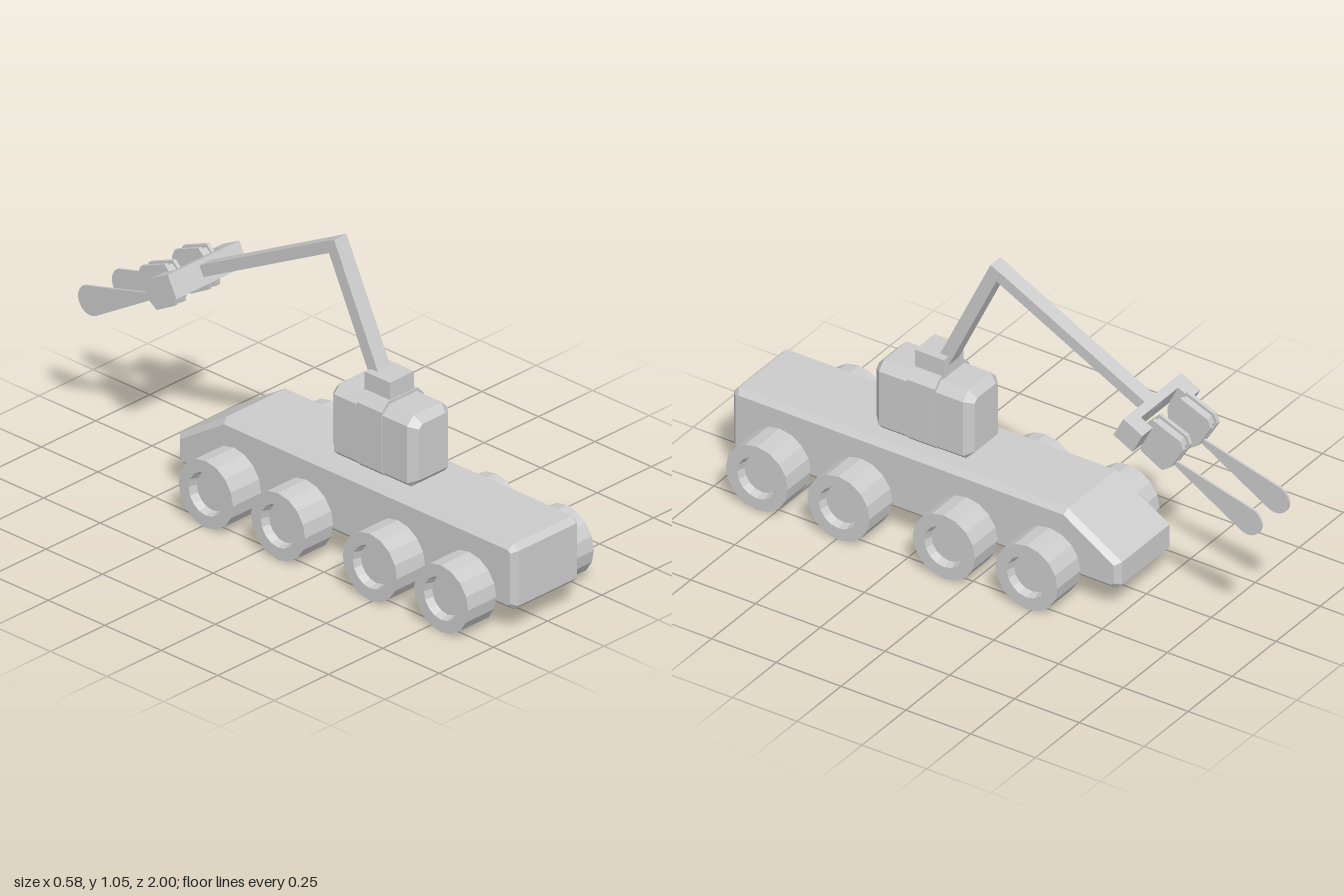
import * as THREE from 'three';

const material = new THREE.MeshStandardMaterial({ color: 0xcccccc, flatShading: true });

function add(parent, name, geometry, x = 0, y = 0, z = 0) {
  const mesh = new THREE.Mesh(geometry, material);
  mesh.name = name;
  mesh.position.set(x, y, z);
  parent.add(mesh);
  return mesh;
}

const polygon = (points) => new THREE.Shape(points.map(([a, b]) => new THREE.Vector2(a, b)));

// Extrudes a shape to a centred depth, chamfering both ends inwards
function extrude(shape, depth, bevel = 0) {
  const geometry = new THREE.ExtrudeGeometry(shape, {
    depth: depth - 2 * bevel, bevelEnabled: bevel > 0, bevelSize: bevel,
    bevelThickness: bevel, bevelOffset: -bevel, bevelSegments: 1, curveSegments: 12,
  });
  return geometry.translate(0, 0, bevel - depth / 2);
}

// Side profile given as (z, y), extruded across x
const sideExtrude = (shape, width, bevel) => extrude(shape, width, bevel).rotateY(-Math.PI / 2);

// Octagonal cabin section, seen from the front
function cabinSection(halfWidth, top) {
  const w = halfWidth, bottom = 0.322, c = 0.03, b = 0.018;
  return polygon([[-w + b, bottom], [w - b, bottom], [w, bottom + b], [w, top - c],
    [w - c, top], [-w + c, top], [-w, top - c], [-w, bottom + b]]);
}

// Straight square-ended beam between two (z, y) points
function beam(parent, name, [z0, y0], [z1, y1], width, thickness) {
  const length = Math.hypot(z1 - z0, y1 - y0);
  const mesh = add(parent, name, new THREE.BoxGeometry(width, length, thickness),
    0, (y0 + y1) / 2, (z0 + z1) / 2);
  mesh.rotation.x = Math.atan2(z1 - z0, y1 - y0);
}

export function createModel() {
  const model = new THREE.Group();
  model.name = 'armedRover';

  // Chassis with a sloped rear and chamfered edges
  const chassis = polygon([[0.98, 0.085], [1, 0.105], [1, 0.302], [0.98, 0.322],
    [-0.29, 0.322], [-0.497, 0.19], [-0.497, 0.105], [-0.477, 0.085]]);
  add(model, 'chassis', sideExtrude(chassis, 0.308, 0.019));

  // Eight wheels with a recessed hub on the outer face
  const wheelProfile = [[0, -0.065], [0.12, -0.065], [0.12, 0.065], [0.076, 0.065],
    [0.068, 0.035], [0, 0.035]].map(([r, h]) => new THREE.Vector2(r, h));
  const wheelGeometry = new THREE.LatheGeometry(wheelProfile, 16).rotateZ(-Math.PI / 2);
  const axleGeometry = new THREE.CylinderGeometry(0.04, 0.04, 0.36, 12).rotateZ(Math.PI / 2);
  for (const z of [0.807, 0.492, 0.085, -0.234]) {
    add(model, 'axle', axleGeometry, 0, 0.12, z);
    for (const side of [1, -1]) {
      const wheel = add(model, side > 0 ? 'leftWheel' : 'rightWheel', wheelGeometry,
        side * 0.225, 0.12, z);
      if (side < 0) wheel.rotation.y = Math.PI;
    }
  }

  // Cabin with a raised band round its middle and the arm mount on top
  add(model, 'cabin', extrude(cabinSection(0.094, 0.574), 0.378, 0.027), 0, 0, 0.307);
  add(model, 'cabinBand', extrude(cabinSection(0.098, 0.585), 0.11), 0, 0, 0.305);
  add(model, 'armMount', new THREE.BoxGeometry(0.112, 0.07, 0.112), 0, 0.612, 0.3);

  // Two-part arm
  beam(model, 'lowerArm', [0.275, 0.6], [0.063, 1.043], 0.058, 0.044);
  beam(model, 'upperArm', [0.06, 1.019], [-0.535, 0.712], 0.054, 0.04);

  // U-shaped bracket at the end of the arm, open towards the back
  const bracket = new THREE.Group();
  bracket.name = 'clawBracket';
  bracket.position.set(0, 0.703, -0.54);
  bracket.rotation.x = -0.478;
  model.add(bracket);
  add(bracket, 'bracketWall', new THREE.BoxGeometry(0.33, 0.083, 0.032), 0, 0, 0.0255);
  for (const side of [1, -1]) {
    add(bracket, 'bracketEnd', new THREE.BoxGeometry(0.059, 0.083, 0.083), side * 0.1355, 0, 0);
  }

  // Claw fingers: a pair of knuckle plates, a core and a thin round-ended blade
  const plate = polygon([[-0.545, 0.7], [-0.595, 0.748], [-0.7, 0.705], [-0.713, 0.675],
    [-0.665, 0.595], [-0.63, 0.571], [-0.55, 0.615]]);
  const core = polygon([[-0.54, 0.695], [-0.595, 0.738], [-0.69, 0.7], [-0.702, 0.675],
    [-0.66, 0.603], [-0.63, 0.583], [-0.545, 0.625]]);
  const angle = Math.PI + 0.532, r = 0.053;
  const blade = new THREE.Shape();
  blade.moveTo(-0.63 + 0.05 * Math.sin(angle), 0.668 - 0.05 * Math.cos(angle));
  blade.absarc(-0.946, 0.483, r, angle - Math.PI / 2, angle + Math.PI / 2, false);
  blade.lineTo(-0.63 - 0.05 * Math.sin(angle), 0.668 + 0.05 * Math.cos(angle));
  blade.closePath();
  for (const side of [1, -1]) {
    const finger = new THREE.Group();
    finger.name = side > 0 ? 'leftFinger' : 'rightFinger';
    finger.position.x = side * 0.078;
    model.add(finger);
    for (const x of [-0.019, 0.019]) add(finger, 'knucklePlate', sideExtrude(plate, 0.014), x);
    add(finger, 'knuckleCore', sideExtrude(core, 0.02));
    add(finger, 'blade', sideExtrude(blade, 0.008));
  }

  return model;
}
